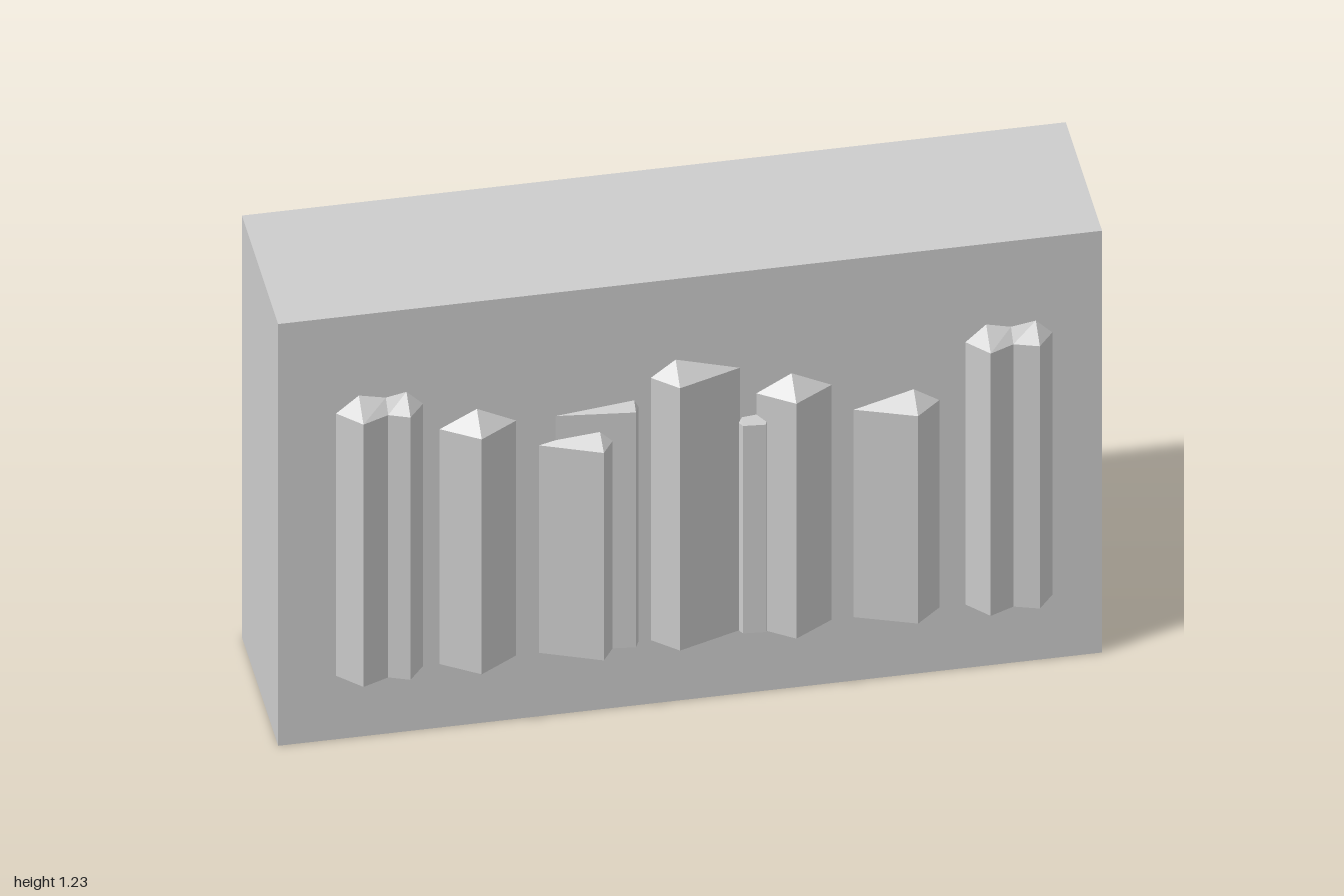
import * as THREE from 'three';

const WALL = 0.225, BASE = 0.185;
const stone = new THREE.MeshStandardMaterial({ color: 0xcccccc });
stone.name = 'stone grey';

// Faceted pillar standing out of a wall. Each outline point is
// [x, outward distance, height of the roof where it meets the wall].
function pillar(name, eave, outline) {
  const pos = [];
  const tri = (a, b, c) => {
    const n = new THREE.Vector3().subVectors(b, a).cross(new THREE.Vector3().subVectors(c, a));
    if (n.length() > 1e-8) for (const v of [a, b, c]) pos.push(v.x, v.y, v.z);
  };
  const quad = (a, b, c, d) => { tri(a, b, c); tri(a, c, d); };
  const V = (x, y, z) => new THREE.Vector3(x, y, z);
  for (let i = 0; i < outline.length - 1; i++) {
    const [x0, z0, h0] = outline[i], [x1, z1, h1] = outline[i + 1];
    const f0 = V(x0, eave, z0), f1 = V(x1, eave, z1);
    const b0 = V(x0, BASE, z0), b1 = V(x1, BASE, z1);
    quad(b0, b1, f1, f0); // side facet
    quad(f0, f1, V(x1, h1, WALL), V(x0, h0, WALL)); // roof facet
    quad(b1, b0, V(x0, BASE, WALL), V(x1, BASE, WALL)); // underside
  }
  const geo = new THREE.BufferGeometry();
  geo.setAttribute('position', new THREE.Float32BufferAttribute(pos, 3));
  geo.computeVertexNormals();
  const mesh = new THREE.Mesh(geo, stone);
  mesh.name = name;
  return mesh;
}

// Adds the wall ends to a list of outer corners
const between = (left, right, eave, corners) =>
  [[left, WALL, eave], ...corners, [right, WALL, eave]];

export function createModel() {
  const model = new THREE.Group();
  model.name = 'pillaredBlock';

  // Main block
  const block = new THREE.Mesh(new THREE.BoxGeometry(1.99, 1.23, 2 * WALL), stone);
  block.name = 'block';
  block.position.set(-0.005, 0.615, 0);
  model.add(block);

  // Twin-ridged end pillars, shared by both faces
  const ends = [
    ['endPillarRight', 0.95, -0.86, -0.65, [[-0.805, 0.282, 0.995], [-0.74, 0.255, 0.98], [-0.69, 0.275, 0.99]]],
    ['endPillarLeft', 0.95, 0.66, 0.87, [[0.71, 0.282, 0.995], [0.77, 0.255, 0.98], [0.83, 0.275, 0.99]]],
  ];
  const frontRow = [
    ...ends,
    ['frontPillar1', 0.87, -0.61, -0.425, [[-0.52, 0.285, 0.917]]],
    ['frontPillar2', 0.79, -0.37, -0.185, [[-0.225, 0.285, 0.825]]],
    ['frontPillar3', 0.87, -0.33, -0.13, [[-0.14, 0.247, 0.89]]],
    ['frontPillar4', 0.95, -0.1, 0.115, [[-0.04, 0.28, 0.995]]],
    ['frontPillar5', 0.79, 0.112, 0.185, [[0.12, 0.24, 0.805], [0.175, 0.245, 0.81]]],
    ['frontPillar6', 0.87, 0.155, 0.337, [[0.24, 0.285, 0.917]]],
    ['frontPillar7', 0.79, 0.39, 0.597, [[0.535, 0.28, 0.83]]],
  ];
  const backRow = [
    ...ends,
    ['backPillar1', 0.87, -0.62, -0.41, [[-0.6, 0.27, 0.9], [-0.43, 0.265, 0.9]]],
    ['backPillar2', 0.79, -0.385, -0.17, [[-0.37, 0.25, 0.81], [-0.2, 0.275, 0.82]]],
    ['backPillar3', 0.87, -0.325, -0.15, [[-0.235, 0.285, 0.915]]],
    ['backPillar4', 0.95, -0.1, 0.12, [[-0.05, 0.285, 0.995]]],
    ['backPillar5', 0.87, 0.14, 0.35, [[0.165, 0.26, 0.9], [0.335, 0.265, 0.9]]],
    ['backPillar6', 0.79, 0.19, 0.295, [[0.23, 0.288, 0.815], [0.265, 0.28, 0.81]]],
    ['backPillar7', 0.79, 0.385, 0.597, [[0.55, 0.275, 0.83]]],
  ];

  const front = new THREE.Group();
  front.name = 'frontPillars';
  for (const [name, eave, l, r, c] of frontRow) front.add(pillar(name, eave, between(l, r, eave, c)));

  // The back row is made in the front's frame, then turned around
  const back = new THREE.Group();
  back.name = 'backPillars';
  for (const [name, eave, l, r, c] of backRow) {
    const turned = between(l, r, eave, c).map(([x, z, h]) => [-x, z, h]).reverse();
    back.add(pillar(name, eave, turned));
  }
  back.rotation.y = Math.PI;
  model.add(front, back);

  // Thin ridge on the left end of the block
  const ridge = pillar('sideRidge', 0.945, between(-0.014, 0.014, 0.945, [[0, WALL + 0.01, 0.953]]));
  ridge.rotation.y = Math.PI / 2;
  ridge.position.x = 0.99 - WALL;
  model.add(ridge);

  return model;
}
